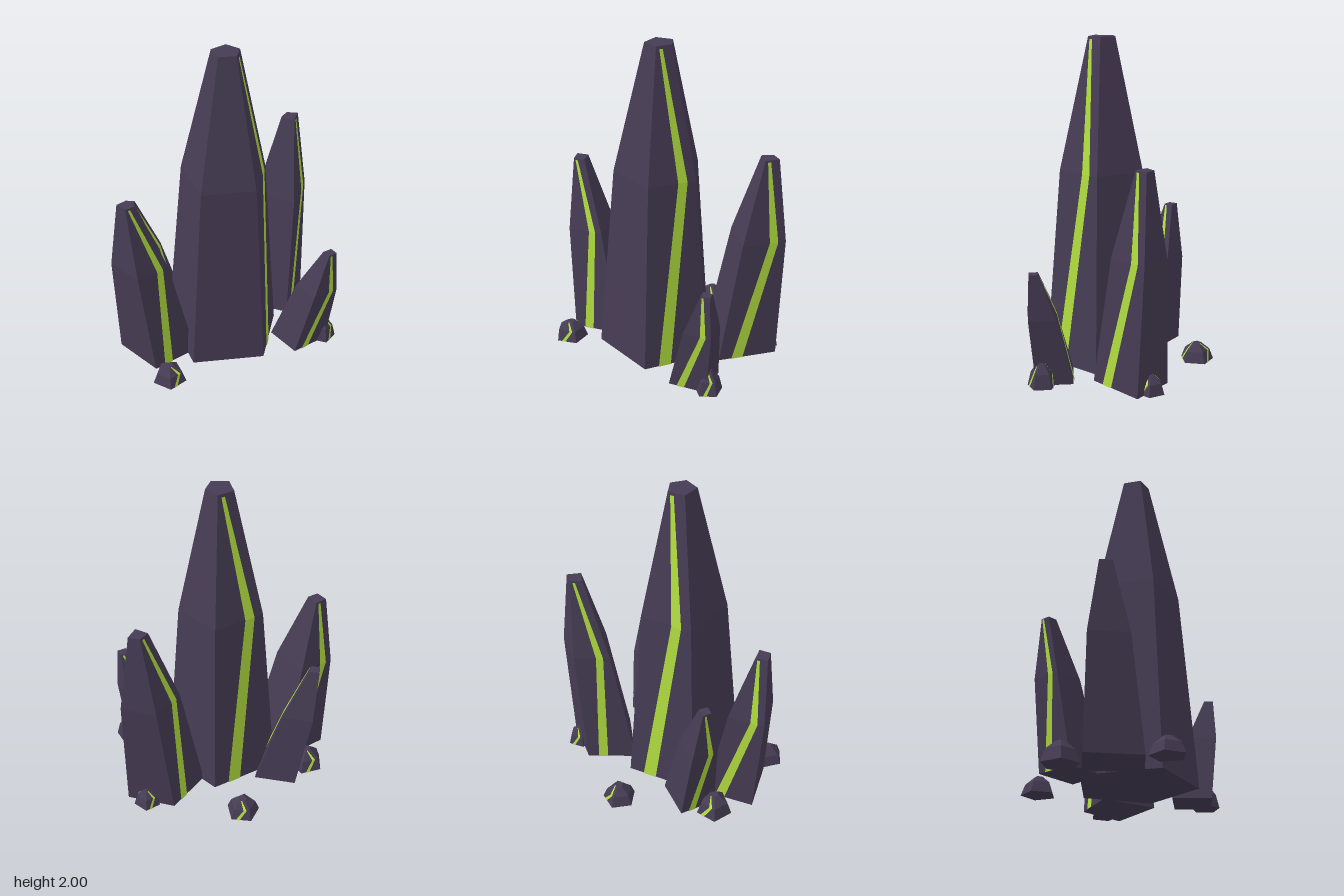
import * as THREE from 'three';

const stone = new THREE.MeshStandardMaterial({ color: 0x463c54 });
stone.name = 'dark violet stone';
const glow = new THREE.MeshStandardMaterial({ color: 0xb2de40 });
glow.name = 'lime vein';

// flat-faced mesh from a list of quads and triangles
function facets(name, faces, material) {
  const pos = [];
  for (const f of faces)
    for (let k = 1; k < f.length - 1; k++)
      for (const p of [f[0], f[k], f[k + 1]]) pos.push(p.x, p.y, p.z);
  const geo = new THREE.BufferGeometry();
  geo.setAttribute('position', new THREE.Float32BufferAttribute(pos, 3));
  geo.computeVertexNormals();
  const mesh = new THREE.Mesh(geo, material);
  mesh.name = name;
  return mesh;
}

// leaning prism with three similar rings: base, shoulder, tip; two sides carry a bent vein
function crystal(name, { base, tip, corners, height, scales = [1, 0.73, 0.235], grow = 0.006 }) {
  const n = corners.length;
  const levels = [0, 0.6, 1];
  const rings = (extra) => levels.map((f, k) => corners.map(([x, z]) => {
    const s = scales[k] + extra / Math.hypot(x, z);
    return new THREE.Vector3(
      base[0] + (tip[0] - base[0]) * f + x * s,
      height * f,
      base[1] + (tip[1] - base[1]) * f + z * s);
  }));

  // body: side facets and end caps
  const r = rings(0);
  const faces = [r[0], [...r[2]].reverse()];
  for (let k = 0; k < 2; k++)
    for (let i = 0; i < n; i++) {
      const j = (i + 1) % n;
      faces.push([r[k][i], r[k + 1][i], r[k + 1][j], r[k][j]]);
    }

  // veins: a zigzag strip lying just above the facet
  const o = rings(grow);
  const centres = [0.68, 0.29, 0.72];
  const half = 0.095;
  const veins = [];
  for (const i of [0, (n + 1) >> 1]) {
    const j = (i + 1) % n;
    const at = (k, side) => o[k][i].clone().lerp(o[k][j], centres[k] + side * half);
    const a = [0, 1, 2].map((k) => at(k, -1));
    const b = [0, 1, 2].map((k) => at(k, 1));
    a[2].lerp(a[1], 0.02);
    b[2].lerp(b[1], 0.02);
    for (let k = 0; k < 2; k++) veins.push([a[k], a[k + 1], b[k + 1], b[k]]);
  }

  const group = new THREE.Group();
  group.name = name;
  group.add(facets(name + 'Body', faces, stone), facets(name + 'Veins', veins, glow));
  return group;
}

// small five-sided pebble crystal
function pebble(name, x, z, radius, height, startDeg) {
  const corners = Array.from({ length: 5 }, (_, i) => {
    const a = THREE.MathUtils.degToRad(startDeg + i * 72);
    return [Math.cos(a) * radius, Math.sin(a) * radius];
  });
  return crystal(name, {
    base: [x, z], tip: [x, z], corners, height, scales: [1, 0.76, 0.24], grow: 0.004,
  });
}

export function createModel() {
  const model = new THREE.Group();
  model.name = 'crystalCluster';

  // corners run clockwise seen from above, relative to the base centre
  model.add(
    crystal('mainCrystal', {
      base: [-0.05, 0.05], tip: [-0.042, 0.055], height: 2,
      corners: [[0.335, 0.117], [0.004, 0.363], [-0.365, 0.113], [-0.2, -0.328], [0.246, -0.286]],
    }),
    crystal('rightCrystal', {
      base: [0.43, -0.01], tip: [0.595, -0.05], height: 1.31,
      corners: [[0.265, 0.02], [-0.058, 0.208], [-0.225, -0.11], [0.07, -0.212]],
    }),
    crystal('leftCrystal', {
      base: [-0.485, -0.105], tip: [-0.628, -0.165], height: 1.125,
      corners: [[0.16, 0.178], [-0.14, 0.155], [-0.16, -0.175], [0.155, -0.165]],
    }),
    crystal('backCrystal', {
      base: [-0.24, -0.32], tip: [-0.38, -0.472], height: 0.875,
      corners: [[0.17, 0.01], [-0.01, 0.17], [-0.17, -0.01], [-0.01, -0.18]],
    }),
    crystal('frontCrystal', {
      base: [0.265, 0.415], tip: [0.37, 0.55], height: 0.685,
      corners: [[0.11, 0.13], [-0.13, 0.098], [-0.115, -0.135], [0.135, -0.09]],
    }),
  );

  // pebbles around the foot of the cluster
  model.add(
    pebble('backPebble', 0.165, -0.5, 0.105, 0.11, 60),
    pebble('leftPebble', -0.615, 0.17, 0.106, 0.11, 54),
    pebble('frontPebble', 0.38, 0.51, 0.088, 0.145, 42),
    pebble('backLeftPebble', -0.43, -0.39, 0.113, 0.13, 35),
    pebble('rightPebble', 0.615, -0.09, 0.085, 0.11, 20),
  );
  return model;
}
